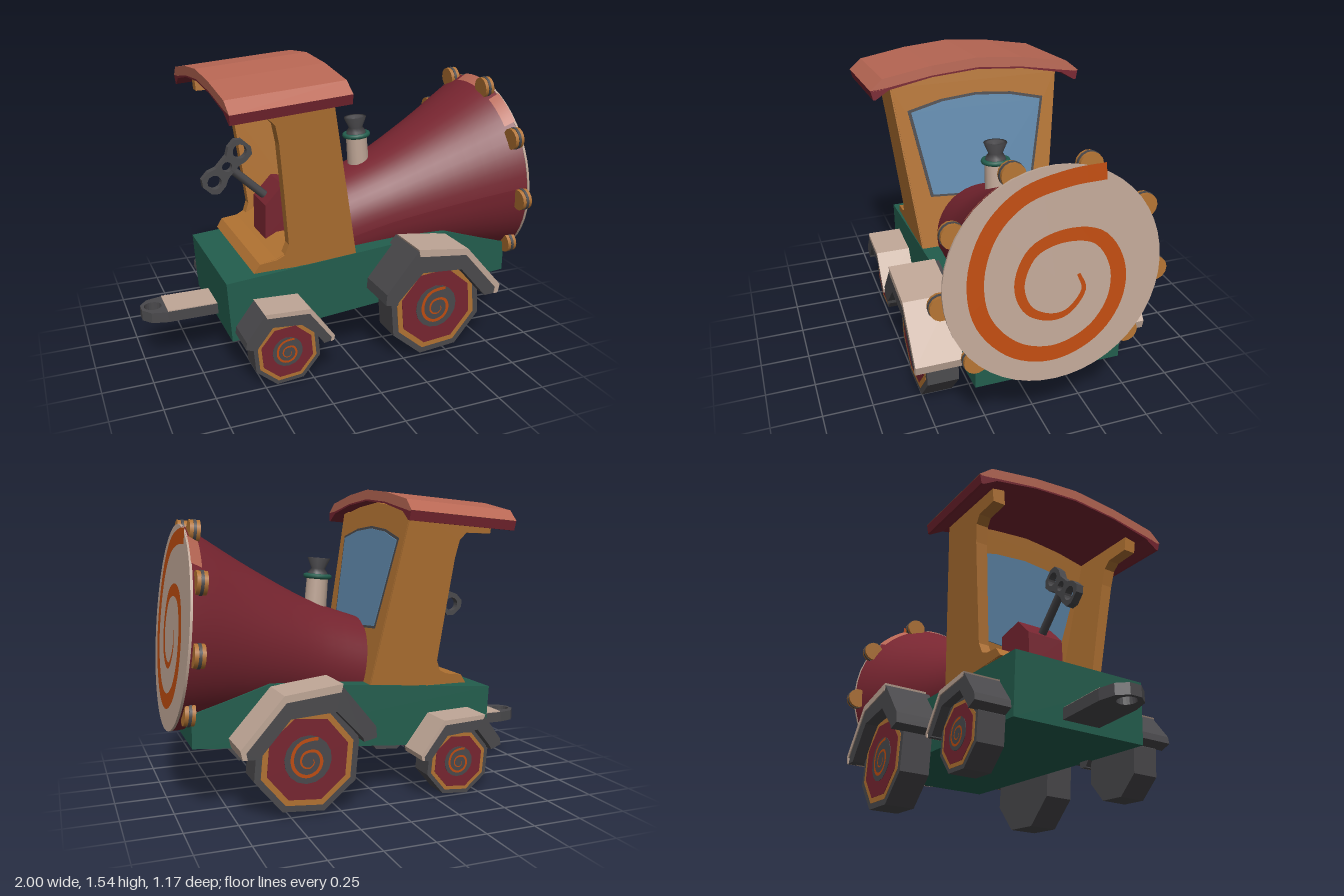
import * as THREE from 'three';

const mat = (name, color, side = THREE.FrontSide) => {
  const m = new THREE.MeshStandardMaterial({ color, side });
  m.name = name;
  return m;
};

export function createModel() {
  const root = new THREE.Group();
  root.name = 'toyTrain';
  const green = mat('green', 0x235e4e);
  const maroon = mat('maroon', 0x772530);
  const salmon = mat('salmon', 0xb86754);
  const ochre = mat('ochre', 0xb17232);
  const cream = mat('cream', 0xc0a797);
  const grey = mat('darkGrey', 0x4a494c);
  const glass = mat('blueGlass', 0x5f88ab);
  const orange = mat('spiralOrange', 0xbf4c10, THREE.DoubleSide);
  const TILT = 0.09;

  const add = (name, geo, material, parent = root) => {
    const m = new THREE.Mesh(geo, material);
    m.name = name;
    parent.add(m);
    return m;
  };
  // Extrude an outline between two z values, optionally moving every vertex by a rule
  const ex = (pts, z0, z1, rule, holes = []) => {
    const s = new THREE.Shape(pts.map(p => new THREE.Vector2(...p)));
    holes.forEach(([x, y, r]) => s.holes.push(new THREE.Path().absarc(x, y, r, 0, Math.PI * 2, true)));
    const g = new THREE.ExtrudeGeometry(s, { depth: z1 - z0, bevelEnabled: false, curveSegments: 10 });
    g.translate(0, 0, z0);
    if (rule) warp(g, rule);
    return g;
  };
  const warp = (g, rule) => {
    const p = g.attributes.position, v = new THREE.Vector3();
    for (let i = 0; i < p.count; i++) {
      rule(v.fromBufferAttribute(p, i));
      p.setXYZ(i, v.x, v.y, v.z);
    }
    g.computeVertexNormals();
    return g;
  };
  const mirrored = half => [...half, ...half.filter(p => p[0] !== 0).reverse().map(([x, y]) => [-x, y])];

  // Chassis
  add('chassis', ex([[-0.64, 0.52], [-0.62, 0.21], [0.925, 0.345], [0.925, 0.505], [0.55, 0.62]], -0.355, 0.355), green);

  // Towing bar with an eye at the end
  const bar = add('towBar', ex([[-0.6, -0.1], [-0.6, 0.1], [-0.88, 0.1], [-0.96, 0.08], [-1, 0.03],
    [-1, -0.03], [-0.96, -0.08], [-0.88, -0.1]], 0, 0.055, null, [[-0.94, 0, 0.045]]), grey);
  bar.rotation.x = -Math.PI / 2;
  bar.position.y = 0.245;
  add('towBarTop', new THREE.BoxGeometry(0.27, 0.006, 0.19), cream).position.set(-0.745, 0.302, 0);

  // Horn-shaped boiler, widening and rising towards the front
  const hornLathe = (pts, start, len, seg) => {
    const g = new THREE.LatheGeometry(pts.map(([x, r]) => new THREE.Vector2(r, x)), seg, start, len);
    g.rotateZ(-Math.PI / 2);
    return warp(g, v => {
      const y = v.y;
      v.y += 0.615 + 0.265 * v.x;
      v.x -= 0.096 * y;
    });
  };
  const profile = new THREE.SplineCurve([[0, 0.265], [0.28, 0.293], [0.6, 0.382], [0.86, 0.475], [0.945, 0.503]]
    .map(p => new THREE.Vector2(...p))).getPoints(16).map(p => [p.x, p.y]);
  add('hornBoiler', hornLathe(profile, 0, Math.PI * 2, 48), maroon);
  for (const a of [-0.85, -0.15, 0.5])
    add('rimPatch', hornLathe([[0.89, 0.489], [0.943, 0.507]], Math.PI * 1.5 + a, 0.38, 6), salmon);

  // Tapering spiral ribbon, shared by the horn face and the wheels
  const spiralPts = [[26, 0], [32, -19], [14, -42], [-6, -45], [-31, -32], [-41, -2], [-26, 33], [9, 46], [49, 38],
    [71, 3], [69, -37], [44, -72], [-1, -89], [-46, -77], [-81, -37], [-88, 13], [-71, 63], [-36, 95], [14, 108], [56, 110]];
  const curve = new THREE.CatmullRomCurve3(spiralPts.map(([x, y]) => new THREE.Vector3(x / 244, y / 244, 0)));
  const sideA = [], sideB = [];
  for (let i = 0; i <= 110; i++) {
    const t = i / 110, p = curve.getPoint(t), d = curve.getTangent(t), w = 0.008 + 0.03 * Math.min(1, t * 2);
    sideA.push(new THREE.Vector2(p.x - d.y * w, p.y + d.x * w));
    sideB.unshift(new THREE.Vector2(p.x + d.y * w, p.y - d.x * w));
  }
  const spiralGeo = new THREE.ShapeGeometry(new THREE.Shape([...sideA, ...sideB]));

  // Horn face with spiral and rim knobs
  const face = new THREE.Group();
  face.name = 'hornFace';
  face.position.set(0.945, 0.865, 0);
  face.rotation.z = 0.096;
  root.add(face);
  const disc = add('hornDisc', new THREE.CylinderGeometry(0.505, 0.505, 0.012, 48), cream, face);
  disc.rotation.z = -Math.PI / 2;
  const swirl = add('hornSpiral', spiralGeo, orange, face);
  swirl.rotation.y = Math.PI / 2;
  swirl.position.x = 0.011;
  for (const deg of [70, 30, -7, -44]) for (const s of [1, -1]) {
    const a = deg * Math.PI / 180;
    for (const [r, h, m] of [[0.055, 0.05, ochre], [0.058, 0.014, grey]]) {
      const k = add('rimKnob', new THREE.CylinderGeometry(r, r, h, 14), m, face);
      k.rotation.z = Math.PI / 2;
      k.position.set(-0.04, 0.505 * Math.sin(a), s * 0.505 * Math.cos(a));
    }
  }

  // Chimney
  const chimney = new THREE.Group();
  chimney.name = 'chimney';
  chimney.position.set(0.21, 0.88, 0);
  chimney.rotation.z = TILT;
  root.add(chimney);
  add('chimneyPipe', new THREE.CylinderGeometry(0.056, 0.06, 0.24, 14), cream, chimney).position.y = 0.09;
  const collar = add('chimneyCollar', new THREE.TorusGeometry(0.062, 0.013, 8, 20), green, chimney);
  collar.rotation.x = Math.PI / 2;
  collar.position.y = 0.22;
  add('chimneyTop', new THREE.LatheGeometry([[0.056, 0.2], [0.05, 0.24], [0.036, 0.26], [0.06, 0.315], [0.04, 0.315], [0, 0.29]]
    .map(p => new THREE.Vector2(...p)), 14), grey, chimney);

  // Cab: walls splay outwards as they rise
  const splay = v => { v.z *= 1 + (v.y - 0.575) * 0.32; };
  const sideWall = [[0.04, 0.56], [-0.135, 1.44], [-0.58, 1.4], [-0.575, 1.32], [-0.44, 1.325], [-0.405, 1.29], [-0.385, 1.2],
    [-0.355, 0.95], [-0.325, 0.68], [-0.345, 0.625], [-0.385, 0.605], [-0.47, 0.595], [-0.5, 0.55]];
  add('cabSideRight', ex(sideWall, 0.3, 0.352, splay), ochre);
  add('cabSideLeft', ex(sideWall, -0.352, -0.3, splay), ochre);
  add('cabFloor', ex([[-0.5, 0.55], [-0.47, 0.595], [-0.385, 0.607], [-0.3, 0.65], [0.01, 0.67], [0.02, 0.55]], -0.345, 0.345), ochre);
  const frontPanel = (half, d0, d1) => {
    const g = ex(mirrored(half), d0, d1);
    g.rotateY(Math.PI / 2);
    return warp(g, v => { v.x += 0.04 - (v.y - 0.56) * 0.2; });
  };
  add('cabFront', frontPanel([[0, 0.56], [0.345, 0.56], [0.44, 1.42], [0.22, 1.46], [0, 1.48]], -0.05, 0.003), ochre);
  const pane = [[0, 0.84], [0.27, 0.86], [0.35, 1.29], [0.18, 1.33], [0, 1.345]];
  add('windowFrame', frontPanel(pane.map(([x, y]) => [x * 1.05, 1.09 + (y - 1.09) * 1.05]), 0.002, 0.005), grey);
  add('windowPane', frontPanel(pane, 0.003, 0.009), glass);
  add('rearWindowPane', frontPanel(pane, -0.055, -0.049), glass);

  // Arched roof with a maroon lining
  const roof = (name, half, m) => {
    const g = ex(half, 0, 0.575);
    g.rotateY(Math.PI / 2);
    g.translate(-0.66, 0, 0);
    warp(g, v => {
      v.y += (v.x + 0.085) * 0.087;
      v.x -= (v.y - 1.5) * 0.09;
    });
    add(name, g, m);
  };
  const arch = (outer, inner) => [...mirrored([...outer].reverse()).reverse(), ...mirrored([...inner].reverse())];
  const outer = [[0, 1.547], [0.24, 1.527], [0.49, 1.485], [0.555, 1.432]];
  const mid = [[0, 1.497], [0.24, 1.478], [0.465, 1.44], [0.538, 1.425]];
  const under = [[0, 1.488], [0.24, 1.47], [0.46, 1.428], [0.53, 1.385]];
  const lining = [...mid.slice(0, 3), [0.553, 1.432], [0.543, 1.385]];
  roof('roof', arch(outer, mid), salmon);
  roof('roofLining', arch(lining, under), maroon);

  // Winding box and key in the open back of the cab
  add('windingBox', ex([[-0.36, 0.62], [-0.1, 0.62], [-0.1, 0.88], [-0.26, 0.9], [-0.355, 0.8]], -0.1, 0.1), maroon);
  const shaft = add('keyShaft', new THREE.CylinderGeometry(0.022, 0.022, 0.25, 8), grey);
  shaft.position.set(-0.41, 0.9, 0);
  shaft.rotation.z = 0.83;
  const key = add('keyHead', ex([[0.155, 0.03], [0.13, 0.06], [0.08, 0.06], [0.04, 0.04], [-0.04, 0.04], [-0.08, 0.06], [-0.13, 0.06],
    [-0.155, 0.03], [-0.155, -0.03], [-0.13, -0.06], [-0.08, -0.06], [-0.04, -0.045], [0.04, -0.045], [0.08, -0.06], [0.13, -0.06],
    [0.155, -0.03]], -0.02, 0.02, null, [[0.1, 0, 0.036], [0, 0, 0.026], [-0.1, 0, 0.036]]), grey);
  key.position.set(-0.525, 1.0, 0);
  key.rotation.z = 0.83;

  // Eight-sided wheels with painted rings
  const wheel = (name, x, y, r, z0, z1, s) => {
    const g = new THREE.Group();
    g.name = name;
    g.position.set(x, y, 0);
    root.add(g);
    const drum = (part, radius, a, b, m, sides = 8) => {
      const c = new THREE.CylinderGeometry(radius, radius, b - a, sides, 1).toNonIndexed();
      c.computeVertexNormals();
      c.rotateX(Math.PI / 2).rotateZ(Math.PI / 8 + TILT).translate(0, 0, s * (a + b) / 2);
      add(part, c, m, g);
    };
    drum('tyre', r, z0, z1, grey);
    drum('outerRing', r * 0.88, z1 - 0.002, z1 + 0.002, ochre);
    drum('wheelFace', r * 0.77, z1, z1 + 0.004, maroon);
    drum('hub', r * 0.43, z1 + 0.002, z1 + 0.006, grey, 16);
    const sp = add('hubSpiral', spiralGeo, orange, g);
    sp.scale.setScalar(r * 0.8);
    sp.position.z = s * (z1 + 0.009);
    if (s < 0) sp.rotation.y = Math.PI;
  };
  // Angular mudguards, capped on the top and front slopes
  const lerp = (a, b, t) => [a[0] + (b[0] - a[0]) * t, a[1] + (b[1] - a[1]) * t];
  const fender = (name, out, inn, z1, s) => {
    const slab = (part, pts, a, b, m) => add(part, s > 0 ? ex(pts, a, b) : ex(pts, -b, -a), m);
    const body = out.map((p, i) => (i > 1 ? lerp(p, inn[i], 0.08) : p));
    slab(name, [...body, ...[...inn].reverse()], 0.33, z1 - 0.005, grey);
    const low = out.map((p, i) => lerp(p, inn[i], 0.3));
    slab(name + 'Cap', [...out.slice(2), ...low.slice(2).reverse()], 0.35, z1, cream);
  };
  for (const s of [1, -1]) {
    wheel('frontWheel', 0.42, 0.285, 0.27, 0.355, 0.512, s);
    wheel('rearWheel', -0.385, 0.18, 0.18, 0.355, 0.49, s);
    fender('frontFender', [[0.1, 0.375], [0.105, 0.43], [0.27, 0.645], [0.55, 0.61], [0.755, 0.38], [0.745, 0.335]],
      [[0.165, 0.36], [0.17, 0.38], [0.3, 0.515], [0.52, 0.5], [0.665, 0.335], [0.67, 0.33]], 0.585, s);
    fender('rearFender', [[-0.605, 0.255], [-0.6, 0.29], [-0.51, 0.42], [-0.28, 0.41], [-0.155, 0.245], [-0.16, 0.22]],
      [[-0.55, 0.235], [-0.545, 0.25], [-0.47, 0.345], [-0.3, 0.33], [-0.21, 0.215], [-0.21, 0.21]], 0.54, s);
  }
  return root;
}
